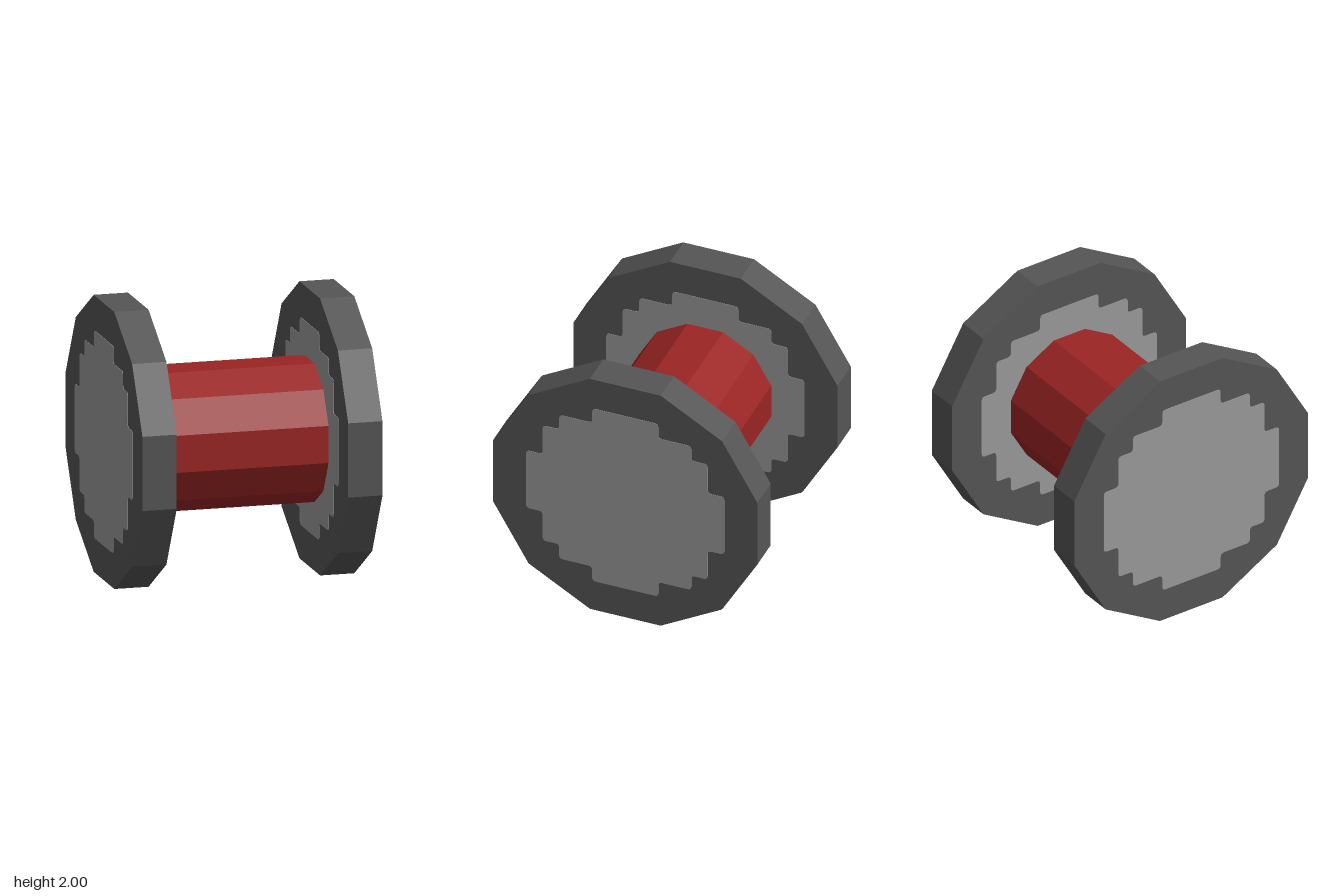
import * as THREE from 'three';

const flat = (name, color) => {
  const m = new THREE.MeshStandardMaterial({ color });
  m.name = name;
  m.flatShading = true;
  return m;
};

// Twelve-sided prism along x, with flats facing up, down, front and back
function prism(apothem, length) {
  const r = apothem / Math.cos(Math.PI / 12);
  return new THREE.CylinderGeometry(r, r, length, 12, 1, false, Math.PI / 12).rotateZ(Math.PI / 2);
}

// Stepped round outline with slightly softened corners
function steppedShape(soft) {
  const steps = [[0.25, 0.75], [0.25, 0.625], [0.5, 0.625], [0.5, 0.5],
    [0.625, 0.5], [0.625, 0.25], [0.75, 0.25]];
  const pts = [];
  for (let q = 0; q < 4; q++) {
    for (const [x, y] of steps) {
      pts.push(new THREE.Vector2(x, y).rotateAround(new THREE.Vector2(), -q * Math.PI / 2));
    }
  }
  const shape = new THREE.Shape();
  pts.forEach((p, i) => {
    const prev = pts[(i + pts.length - 1) % pts.length];
    const next = pts[(i + 1) % pts.length];
    const a = p.clone().add(prev.clone().sub(p).setLength(soft));
    const b = p.clone().add(next.clone().sub(p).setLength(soft));
    if (i === 0) shape.moveTo(a.x, a.y);
    else shape.lineTo(a.x, a.y);
    shape.quadraticCurveTo(p.x, p.y, b.x, b.y);
  });
  shape.closePath();
  return shape;
}

export function createModel() {
  const red = flat('red', 0x9b2424);
  const darkGrey = flat('dark grey', 0x555555);
  const lightGrey = flat('light grey', 0x999999);
  const model = new THREE.Group();
  model.name = 'spool';

  const add = (name, geometry, material, x) => {
    const mesh = new THREE.Mesh(geometry, material);
    mesh.name = name;
    mesh.position.set(x, 1, 0);
    model.add(mesh);
  };

  // Core between the two end discs
  add('core', prism(0.5, 1.25), red, 0);

  // End discs, each with a thin stepped panel on both faces
  const disc = prism(1, 0.25);
  const panel = new THREE.ExtrudeGeometry(steppedShape(0.03),
    { depth: 0.006, bevelEnabled: false, curveSegments: 4 })
    .translate(0, 0, -0.003).rotateY(Math.PI / 2);
  for (const [side, s] of [['left', 1], ['right', -1]]) {
    add(side + 'Disc', disc, darkGrey, s * 0.75);
    add(side + 'OuterPanel', panel, lightGrey, s * 0.875);
    add(side + 'InnerPanel', panel, lightGrey, s * 0.625);
  }
  return model;
}
